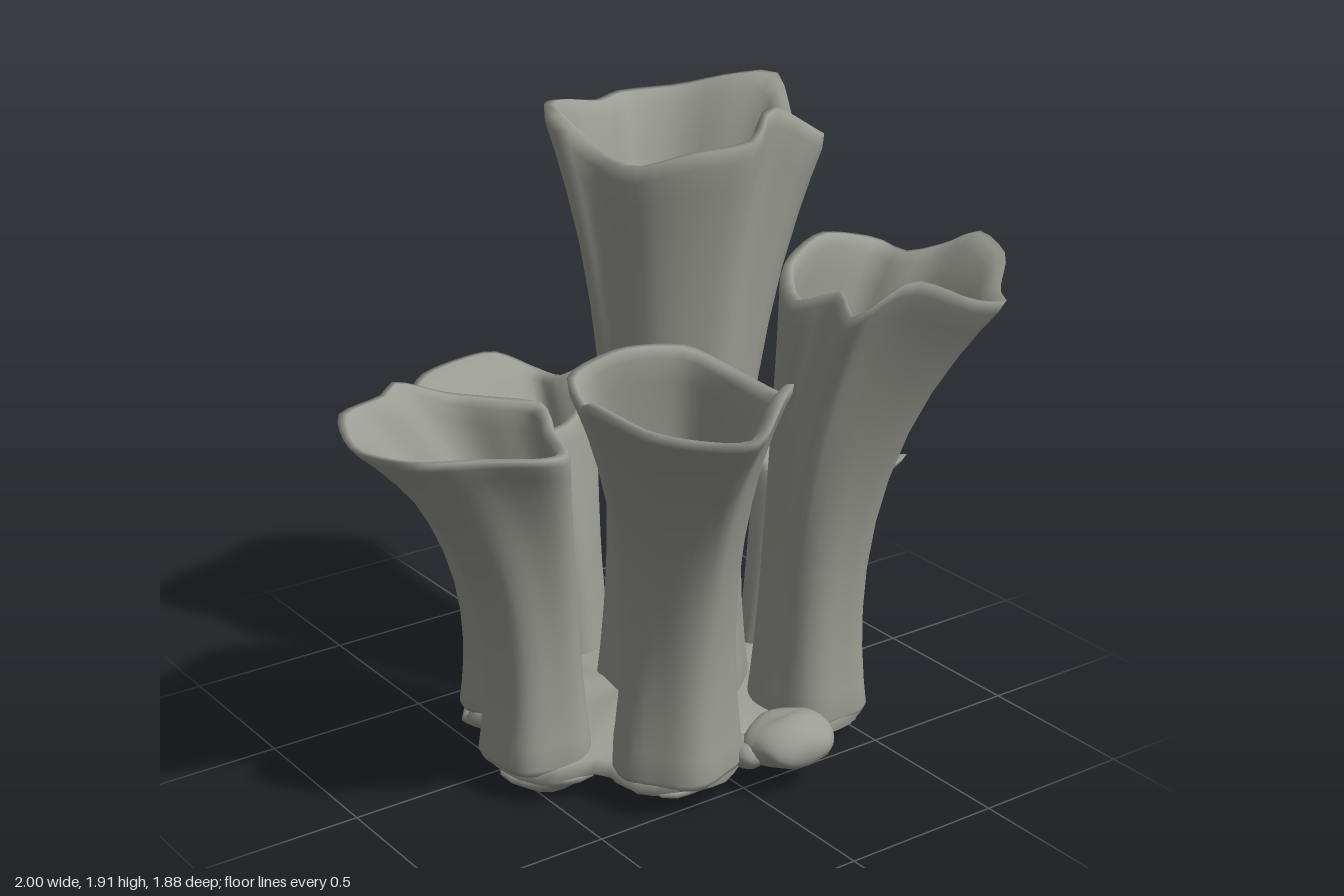
import * as THREE from 'three';

const SEG = 48;
const FLOOR = 0.09;

// [height fraction, scale about the ring centre], from under the foot, up, over the lip and down inside
const RINGS = [
  [0, 0], [0, 0.92], [0.02, 1], [0.08, 1], [0.16, 1], [0.25, 1], [0.35, 1], [0.46, 1], [0.57, 1],
  [0.68, 1], [0.78, 1], [0.87, 1.01], [0.93, 1.02], [0.975, 1.03], [1, 1.005], [1, 0.93], [0.975, 0.88],
  [0.92, 0.87], [0.82, 0.86], [0.7, 0.84], [0.57, 0.82], [0.45, 0.8], [0.32, 0.77], [0.2, 0.7], [0.15, 0.5], [0.13, 0],
];

// Closed skin through a list of rings of equal length
function skin(rings) {
  const n = rings[0].length;
  const pos = [], idx = [];
  rings.forEach((ring) => ring.forEach((p) => pos.push(p.x, p.y, p.z)));
  for (let j = 0; j < rings.length - 1; j++) {
    for (let i = 0; i < n; i++) {
      const k = (i + 1) % n;
      const a = j * n + i, b = (j + 1) * n + i, c = j * n + k, d = (j + 1) * n + k;
      idx.push(a, b, c, c, b, d);
    }
  }
  const g = new THREE.BufferGeometry();
  g.setAttribute('position', new THREE.Float32BufferAttribute(pos, 3));
  g.setIndex(idx);
  g.computeVertexNormals();
  return g;
}

// Flaring tube from a foot (x, z, neck radius) to an irregular rim of [x, y, z] points
function tubeGeometry([bx, bz, r], rimPoints, power) {
  const curve = new THREE.CatmullRomCurve3(
    rimPoints.map((p) => new THREE.Vector3(...p)), true, 'catmullrom', 0.4);
  const rim = curve.getSpacedPoints(SEG).slice(0, SEG);
  const mid = rim.reduce((s, p) => s.add(p), new THREE.Vector3()).divideScalar(SEG);
  const rings = RINGS.map(([t, s]) => {
    const w = Math.pow(t, power);
    const foot = r * (1 + 0.34 * Math.pow(1 - t, 4));
    const cx = bx + (mid.x - bx) * w, cz = bz + (mid.z - bz) * w;
    return rim.map((p) => {
      const a = Math.atan2(p.z - mid.z, p.x - mid.x);
      const f = foot * (1 + 0.05 * Math.sin(5 * a + bx * 9));
      const x = (bx + f * Math.cos(a)) * (1 - w) + p.x * w;
      const z = (bz + f * Math.sin(a)) * (1 - w) + p.z * w;
      const y = FLOOR + ((s === 0 ? mid.y : p.y) - FLOOR) * t;
      return new THREE.Vector3(cx + (x - cx) * s, y, cz + (z - cz) * s);
    });
  });
  return skin(rings);
}

// Rough slab following the feet, from [x, z] outline points
function slabGeometry(outline) {
  const curve = new THREE.CatmullRomCurve3(
    outline.map(([x, z]) => new THREE.Vector3(x, 0, z)), true, 'catmullrom', 0.4);
  const edge = curve.getSpacedPoints(72).slice(0, 72);
  const levels = [[0.05, 0], [0.05, 0.25], [0.045, 0.5], [0.045, 0.72], [0.06, 0.9], [0.09, 1],
    [0.12, 0.93], [0.14, 0.7], [0.15, 0.4], [0.15, 0]];
  return skin(levels.map(([y, s]) => edge.map((p) => {
    const x = p.x * s, z = p.z * s;
    return new THREE.Vector3(x, y + 0.016 * Math.sin(13 * x + 2) * Math.cos(15 * z), z);
  })));
}

// Lumpy stone: a sphere with its radius rippled
function lumpGeometry(sx, sy, sz, seed, amount) {
  const g = new THREE.SphereGeometry(1, 24, 14);
  const p = g.attributes.position;
  const v = new THREE.Vector3();
  for (let i = 0; i < p.count; i++) {
    v.fromBufferAttribute(p, i);
    const k = 1 + amount * (Math.sin(4 * v.x + seed) * Math.cos(5 * v.z - seed)
      + 0.6 * Math.sin(7 * v.z + 3 * v.y + seed * 2));
    p.setXYZ(i, v.x * k * sx, v.y * k * sy, v.z * k * sz);
  }
  g.computeVertexNormals();
  return g;
}

export function createModel() {
  const group = new THREE.Group();
  const stone = new THREE.MeshStandardMaterial({ color: 0x9b9c93 });
  stone.name = 'greyStone';

  const add = (name, geometry, x = 0, y = 0, z = 0) => {
    const m = new THREE.Mesh(geometry, stone);
    m.name = name;
    m.position.set(x, y, z);
    group.add(m);
  };
  const tube = (name, foot, rim, power = 3) => add(name, tubeGeometry(foot, rim, power));

  // Seven tubes, each with its own foot and rim outline
  tube('tallTube', [0.11, 0.01, 0.175], [
    [0.67, 1.88, -0.25], [0.59, 1.77, -0.06], [0.57, 1.78, 0.09], [0.44, 1.84, 0.22],
    [0.3, 1.92, 0.2], [0.19, 1.85, 0.26], [0.03, 1.82, 0.18], [-0.08, 1.77, 0.05],
    [-0.09, 1.79, -0.12], [-0.17, 1.9, -0.24], [-0.02, 1.87, -0.39], [0.15, 1.83, -0.46],
    [0.3, 1.82, -0.55], [0.47, 1.83, -0.48], [0.58, 1.87, -0.36],
  ], 2.4);
  tube('frontLeftTube', [0.37, 0.32, 0.135], [
    [0.88, 1.52, 0.44], [0.85, 1.49, 0.58], [0.75, 1.43, 0.67], [0.66, 1.44, 0.79],
    [0.54, 1.47, 0.8], [0.38, 1.53, 0.72], [0.24, 1.43, 0.64], [0.3, 1.46, 0.5],
    [0.23, 1.42, 0.4], [0.32, 1.47, 0.24], [0.51, 1.51, 0.16], [0.72, 1.46, 0.16],
    [0.75, 1.44, 0.27], [0.83, 1.47, 0.35],
  ], 2.6);
  tube('frontRightTube', [-0.16, 0.38, 0.145], [
    [0, 1.27, 0.64], [-0.05, 1.34, 0.75], [-0.17, 1.36, 0.86], [-0.3, 1.29, 0.93],
    [-0.42, 1.29, 0.86], [-0.56, 1.33, 0.8], [-0.64, 1.38, 0.66], [-0.56, 1.31, 0.5],
    [-0.46, 1.32, 0.3], [-0.29, 1.36, 0.3], [-0.1, 1.34, 0.34], [-0.02, 1.29, 0.46],
  ], 2.6);
  tube('rightTube', [-0.45, 0.1, 0.125], [
    [-0.38, 1.14, 0.04], [-0.45, 1.13, 0.2], [-0.5, 1.12, 0.35], [-0.6, 1.14, 0.41],
    [-0.77, 1.16, 0.36], [-0.95, 1.17, 0.29], [-1, 1.15, 0.07], [-0.95, 1.19, -0.09],
    [-0.8, 1.2, -0.13], [-0.72, 1.21, -0.18], [-0.58, 1.16, -0.14], [-0.49, 1.15, -0.07],
  ], 2.8);
  tube('backRightTube', [-0.36, -0.22, 0.1], [
    [-0.21, 0.92, -0.21], [-0.26, 0.93, -0.08], [-0.34, 0.94, 0], [-0.45, 0.95, -0.03],
    [-0.61, 0.95, -0.13], [-0.78, 1, -0.32], [-0.67, 0.98, -0.4], [-0.55, 0.91, -0.51],
    [-0.45, 0.9, -0.5], [-0.29, 0.96, -0.37],
  ], 2.7);
  tube('backTube', [-0.02, -0.41, 0.115], [
    [0.24, 0.93, -0.62], [0.16, 0.89, -0.5], [0, 0.85, -0.4], [-0.13, 0.85, -0.39],
    [-0.26, 0.88, -0.48], [-0.36, 0.92, -0.64], [-0.29, 0.88, -0.72], [-0.29, 0.86, -0.86],
    [-0.18, 0.9, -0.94], [0.06, 0.92, -0.94], [0.17, 0.87, -0.84], [0.18, 0.88, -0.71],
  ], 2.5);
  tube('leftTube', [0.52, -0.03, 0.095], [
    [1, 0.65, -0.21], [0.96, 0.64, -0.06], [0.98, 0.67, 0.05], [0.73, 0.66, 0.12],
    [0.63, 0.67, 0.04], [0.59, 0.64, -0.08], [0.63, 0.66, -0.27], [0.78, 0.65, -0.32],
    [0.95, 0.69, -0.25],
  ], 2.6);

  // Rough slab joining the feet
  add('baseSlab', slabGeometry([
    [0.63, -0.03], [0.58, 0.09], [0.5, 0.18], [0.54, 0.4], [0.38, 0.51], [0.24, 0.48],
    [0.11, 0.44], [0, 0.5], [-0.16, 0.57], [-0.34, 0.48], [-0.38, 0.32], [-0.55, 0.25],
    [-0.6, 0.08], [-0.49, -0.06], [-0.5, -0.22], [-0.4, -0.35], [-0.22, -0.35], [-0.17, -0.5],
    [-0.03, -0.56], [0.1, -0.5], [0.13, -0.3], [0.3, -0.16], [0.52, -0.16],
  ]));

  // Rubble along the underside: x, y, z, half sizes
  [
    [-0.42, 0.065, 0.12, 0.16, 0.05, 0.16], [-0.16, 0.07, 0.38, 0.17, 0.045, 0.15],
    [0.15, 0.055, 0.05, 0.2, 0.05, 0.2], [0.38, 0.075, 0.32, 0.15, 0.04, 0.15],
    [-0.05, 0.07, -0.37, 0.15, 0.045, 0.14], [-0.35, 0.07, -0.2, 0.14, 0.045, 0.13],
  ].forEach(([x, y, z, sx, sy, sz], i) =>
    add('rubble', lumpGeometry(sx, sy, sz, i * 1.7, 0.1), x, y, z));

  // Loose stones at the front and back
  add('frontStone', lumpGeometry(0.14, 0.075, 0.115, 2, 0.06), 0.13, 0.145, 0.545);
  add('frontStoneNub', lumpGeometry(0.07, 0.05, 0.06, 4, 0.05), 0.02, 0.12, 0.5);
  add('backStone', lumpGeometry(0.1, 0.07, 0.09, 5, 0.05), -0.2, 0.14, -0.34);

  return group;
}
